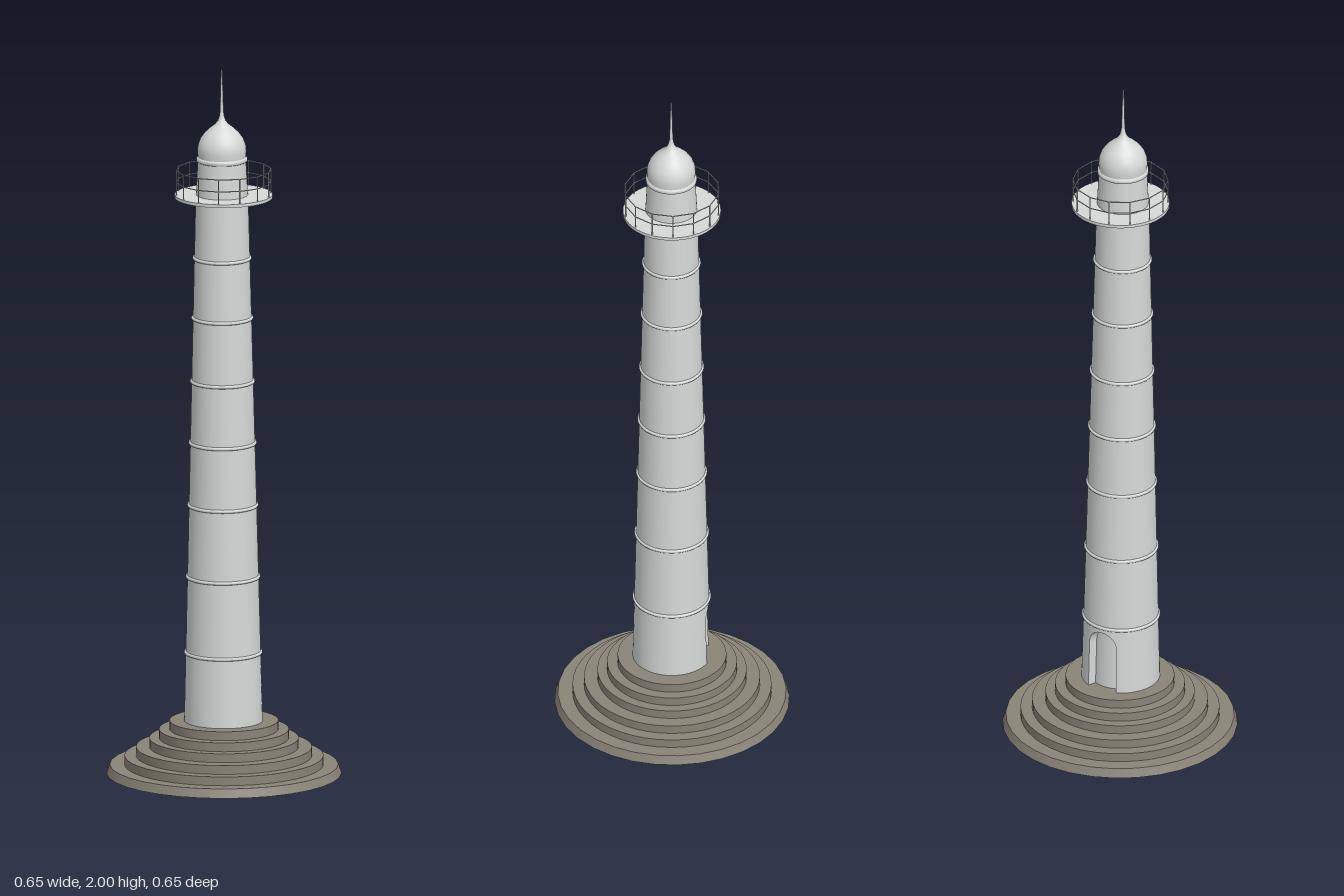
import * as THREE from 'three';

const stone = new THREE.MeshStandardMaterial({ color: 0x8a8478, side: THREE.DoubleSide });
stone.name = 'stone';
const paint = new THREE.MeshStandardMaterial({ color: 0xd5d9d7, side: THREE.DoubleSide });
paint.name = 'pale paint';

const BASE_TOP = 0.15, DECK = 1.64, RING1 = 0.345;
const wallRadius = (y) => 0.109 + (0.073 - 0.109) * (y - BASE_TOP) / (DECK - BASE_TOP);

// Door: angles run from +z towards +x, so the back (-z) is PI
const DOOR_ANGLE = Math.PI - 0.3, DOOR_HALF = 0.42, DOOR_SPRING = 0.285, DOOR_RISE = 0.045;

function add(parent, name, geometry, material) {
  const mesh = new THREE.Mesh(geometry, material);
  mesh.name = name;
  parent.add(mesh);
  return mesh;
}

function lathe(points, segments = 48, start = 0, length = Math.PI * 2) {
  return new THREE.LatheGeometry(points.map(([r, y]) => new THREE.Vector2(r, y)), segments, start, length);
}

// Grid whose corners (u, v) in 0..1 are mapped to angle, height and radius
function wallPatch(nu, nv, rule) {
  const geo = new THREE.PlaneGeometry(1, 1, nu, nv);
  const pos = geo.attributes.position;
  for (let i = 0; i < pos.count; i++) {
    const [angle, y, r] = rule(pos.getX(i) + 0.5, pos.getY(i) + 0.5);
    pos.setXYZ(i, r * Math.sin(angle), y, r * Math.cos(angle));
  }
  geo.computeVertexNormals();
  return geo;
}

function steppedBase() {
  const base = new THREE.Group();
  base.name = 'steppedBase';
  const radii = [0.276, 0.244, 0.207, 0.18, 0.151];
  const foot = add(base, 'footSlab', new THREE.CylinderGeometry(0.317, 0.326, 0.025, 32), stone);
  foot.position.y = 0.0125;
  radii.forEach((r, i) => {
    const step = add(base, 'step' + (i + 1), new THREE.CylinderGeometry(r, r, 0.025, 48), stone);
    step.position.y = 0.0375 + i * 0.025;
  });
  return base;
}

function shaft() {
  const group = new THREE.Group();
  group.name = 'shaft';
  add(group, 'upperWall', lathe([[wallRadius(RING1), RING1], [wallRadius(DECK), DECK]]), paint);
  // Lower wall, open at the doorway
  add(group, 'lowerWall', lathe([[wallRadius(BASE_TOP), BASE_TOP], [wallRadius(RING1), RING1]], 42,
    DOOR_ANGLE + DOOR_HALF, Math.PI * 2 - DOOR_HALF * 2), paint);

  // Wall above the door arch
  const archY = (t) => DOOR_SPRING + DOOR_RISE * Math.sqrt(Math.max(0, 1 - t * t));
  add(group, 'wallOverDoor', wallPatch(20, 1, (u, v) => {
    const t = -Math.cos(u * Math.PI);
    const y = THREE.MathUtils.lerp(archY(t), RING1, v);
    return [DOOR_ANGLE + t * DOOR_HALF, y, wallRadius(y)];
  }), paint);

  // Reveal of the doorway and recessed door
  const depth = 0.024;
  add(group, 'doorArch', wallPatch(20, 1, (u, v) => {
    const t = -Math.cos(u * Math.PI), y = archY(t);
    return [DOOR_ANGLE + t * DOOR_HALF, y, wallRadius(y) - depth * v];
  }), paint);
  for (const side of [-1, 1]) {
    add(group, 'doorJamb', wallPatch(1, 1, (u, v) => {
      const y = THREE.MathUtils.lerp(BASE_TOP, DOOR_SPRING, v);
      return [DOOR_ANGLE + side * DOOR_HALF, y, wallRadius(y) - depth * u];
    }), paint);
  }
  add(group, 'door', wallPatch(12, 1, (u, v) => {
    const y = THREE.MathUtils.lerp(BASE_TOP, RING1, v);
    return [DOOR_ANGLE + (u * 2 - 1) * DOOR_HALF, y, wallRadius(y) - depth];
  }), paint);

  // Raised bands
  for (const y of [RING1, 0.56, 0.763, 0.94, 1.115, 1.295, 1.465]) {
    const band = add(group, 'band', new THREE.TorusGeometry(wallRadius(y), 0.005, 8, 48), paint);
    band.rotation.x = Math.PI / 2;
    band.position.y = y;
  }
  return group;
}

function gallery() {
  const group = new THREE.Group();
  group.name = 'gallery';
  const R = 0.132, sides = 14, wire = 0.0016;
  const deck = add(group, 'deck', new THREE.CylinderGeometry(0.136, 0.136, 0.009, 48), paint);
  deck.position.y = DECK;
  for (let i = 0; i < sides; i++) {
    const a = (i / sides) * Math.PI * 2;
    const post = add(group, 'railPost', new THREE.CylinderGeometry(wire, wire, 0.075, 6), paint);
    post.position.set(R * Math.sin(a), DECK + 0.0375, R * Math.cos(a));
  }
  for (const y of [1.68, 1.714]) {
    const rail = add(group, 'rail', new THREE.TorusGeometry(R, wire, 5, sides), paint);
    rail.rotation.set(Math.PI / 2, 0, Math.PI / 2);
    rail.position.y = y;
  }
  return group;
}

function lantern() {
  const group = new THREE.Group();
  group.name = 'lantern';
  add(group, 'lanternWall', lathe([[0.072, DECK], [0.067, 1.74]]), paint);
  add(group, 'collar', lathe([[0.066, 1.738], [0.071, 1.741], [0.071, 1.749], [0.066, 1.752]]), paint);
  add(group, 'dome', lathe([[0.066, 1.75], [0.068, 1.768], [0.0665, 1.785], [0.06, 1.803], [0.048, 1.82],
    [0.033, 1.834], [0.019, 1.845], [0.011, 1.855], [0.007, 1.867], [0.005, 1.88]]), paint);
  add(group, 'spire', lathe([[0.005, 1.88], [0.0035, 1.94], [0.002, 1.998], [0, 2]], 10), paint);
  return group;
}

export function createModel() {
  const model = new THREE.Group();
  model.name = 'lighthouse';
  const tower = new THREE.Group();
  tower.name = 'tower';
  tower.add(shaft(), lantern());
  // Slight lean of the tower towards -x
  tower.position.x = -0.0015;
  tower.rotation.z = 0.004;
  const deck = gallery();
  deck.position.x = -0.0015;
  model.add(steppedBase(), tower, deck);
  return model;
}
